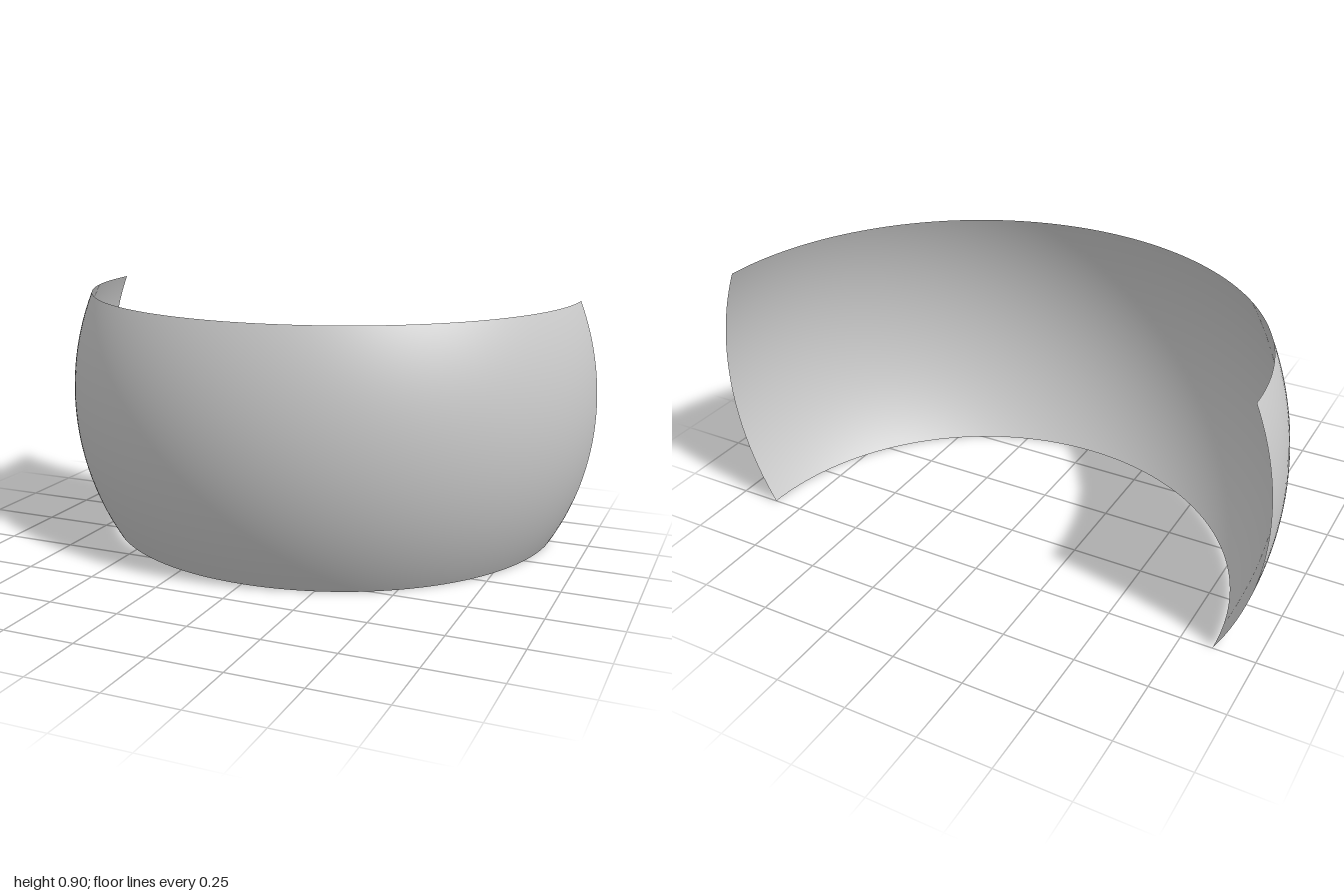
import * as THREE from 'three';

export function createModel() {
  const group = new THREE.Group();
  group.name = 'curvedScreen';

  // Front half of a thin unit-sphere band, cut flat at the top and bottom
  const centreY = 0.515;
  const height = 0.9;
  const thetaTop = Math.acos(height - centreY);
  const thetaBottom = Math.acos(-centreY);
  const geometry = new THREE.SphereGeometry(
    1, 96, 48, 0, Math.PI, thetaTop, thetaBottom - thetaTop
  );
  const material = new THREE.MeshStandardMaterial({
    color: 0xcccccc,
    side: THREE.DoubleSide,
  });

  const band = new THREE.Mesh(geometry, material);
  band.name = 'sphericalBand';
  band.position.set(0, centreY, -0.5);
  group.add(band);

  return group;
}
